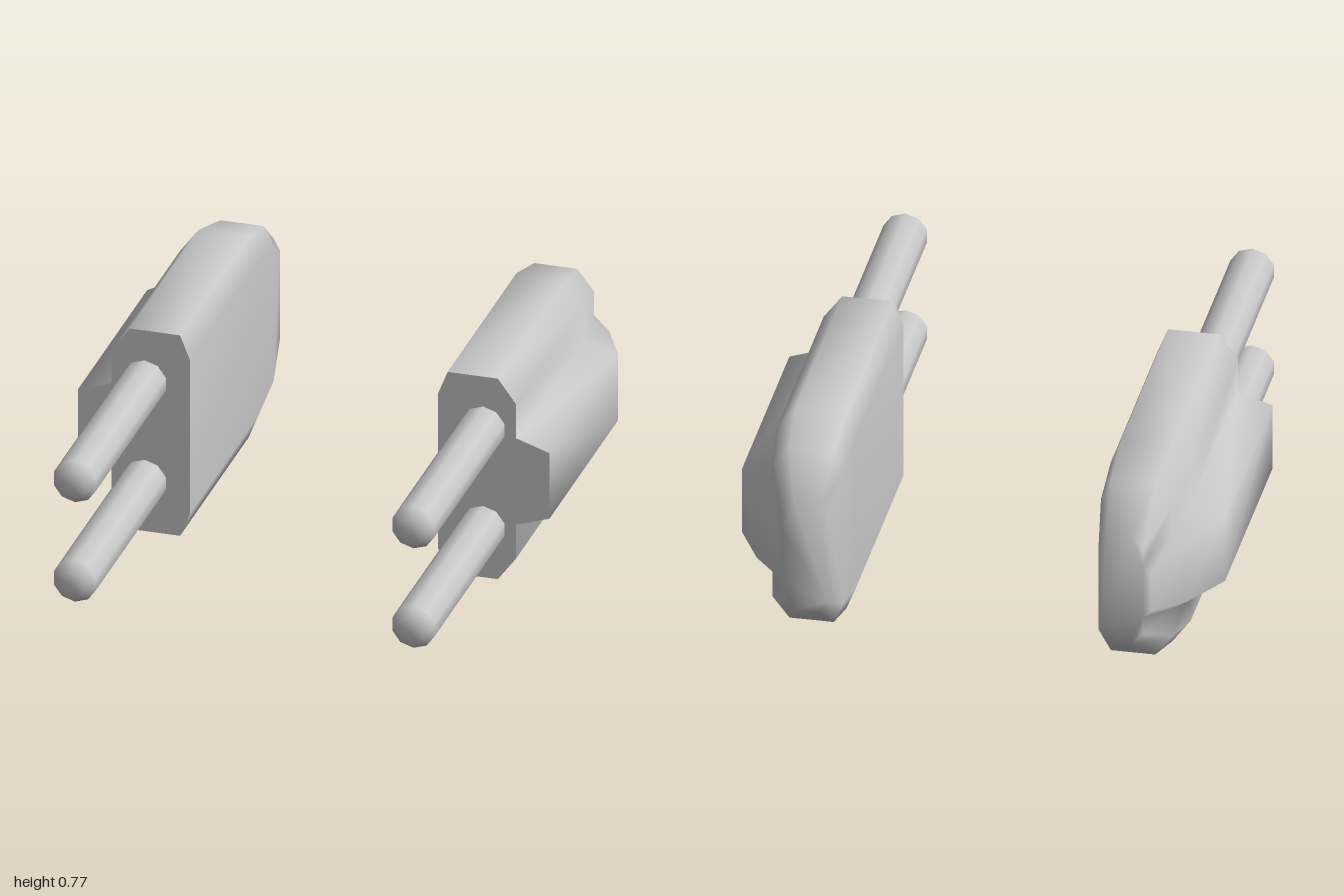
import * as THREE from 'three';

const MID_Y = 0.385;

// Half outline of the pod (mirrored about MID_Y) at each station along z.
// x: inner wall, inner roof, outer roof, side, fin; h: half heights of roof, shoulder, fin root, fin tip
const STATIONS = [
  { z: 0.15, x: [0.445, 0.48, 0.66, 0.725, 0.845], h: [0.383, 0.295, 0.165, 0.125] },
  { z: -0.65, x: [0.445, 0.48, 0.66, 0.725, 0.845], h: [0.383, 0.295, 0.165, 0.125] },
  { z: -0.84, x: [0.45, 0.485, 0.64, 0.7, 0.755], h: [0.333, 0.255, 0.145, 0.11] },
  { z: -1, x: [0.475, 0.5, 0.59, 0.63, 0.658], h: [0.21, 0.165, 0.1, 0.075] },
];

function outline({ x, h }) {
  const lower = [
    [x[0], -h[1]], [x[1], -h[0]], [x[2], -h[0]],
    [x[3], -h[1]], [x[3], -h[2]], [x[4], -h[3]],
  ];
  const upper = lower.map(([px, py]) => [px, -py]).reverse();
  return [...lower, ...upper].map(([px, py]) => new THREE.Vector2(px, py + MID_Y));
}

// Smooth loft through the stations, with a crisp front cap and a blended rear cap
function podGeometry(side) {
  const positions = [];
  const index = [];
  const rings = STATIONS.map(outline);
  const n = rings[0].length;
  const addRing = (ring, z) => ring.forEach((p) => positions.push(p.x * side, p.y, z));
  const addFace = (a, b, c) => (side > 0 ? index.push(a, b, c) : index.push(a, c, b));

  rings.forEach((ring, r) => addRing(ring, STATIONS[r].z));
  for (let r = 0; r < rings.length - 1; r++) {
    for (let i = 0; i < n; i++) {
      const j = (i + 1) % n;
      const a = r * n + i, b = r * n + j;
      addFace(a, a + n, b);
      addFace(b, a + n, b + n);
    }
  }
  const last = rings.length - 1;
  THREE.ShapeUtils.triangulateShape(rings[last], [])
    .forEach(([a, b, c]) => addFace(last * n + a, last * n + c, last * n + b));
  const front = positions.length / 3;
  addRing(rings[0], STATIONS[0].z);
  THREE.ShapeUtils.triangulateShape(rings[0], [])
    .forEach(([a, b, c]) => addFace(front + a, front + b, front + c));

  const geometry = new THREE.BufferGeometry();
  geometry.setAttribute('position', new THREE.Float32BufferAttribute(positions, 3));
  geometry.setIndex(index);
  geometry.computeVertexNormals();
  return geometry;
}

// Ten-sided rod with a chamfered tip, pointing along +z
function barrelGeometry() {
  const profile = [[0.08, 0.14], [0.08, 0.96], [0.05, 1], [0, 1]]
    .map(([r, y]) => new THREE.Vector2(r, y));
  return new THREE.LatheGeometry(profile, 10).rotateX(Math.PI / 2);
}

export function createModel() {
  const model = new THREE.Group();
  model.name = 'twinBarrelPods';
  const metal = new THREE.MeshStandardMaterial({ color: 0xc8c8c8 });
  metal.name = 'light grey metal';
  const barrelShape = barrelGeometry();

  for (const side of [1, -1]) {
    const pod = new THREE.Group();
    pod.name = side > 0 ? 'leftPod' : 'rightPod';

    const body = new THREE.Mesh(podGeometry(side), metal);
    body.name = 'podBody';
    pod.add(body);

    // Upper and lower barrels
    for (const [name, y] of [['lowerBarrel', 0.194], ['upperBarrel', 0.574]]) {
      const barrel = new THREE.Mesh(barrelShape, metal);
      barrel.name = name;
      barrel.position.set(0.607 * side, y, 0);
      pod.add(barrel);
    }
    model.add(pod);
  }
  return model;
}
